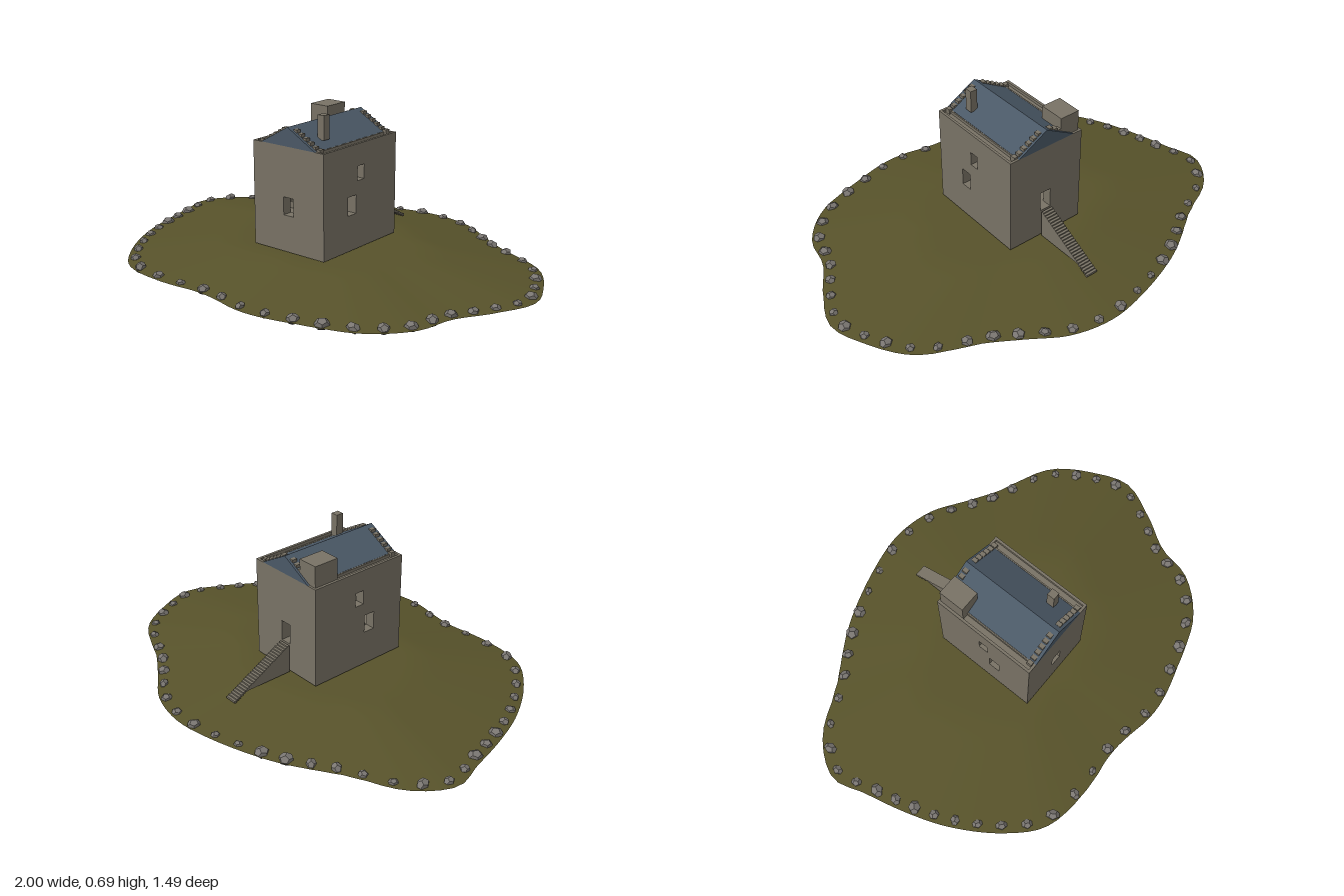
import * as THREE from 'three';

const mat = (name, color) => {
  const m = new THREE.MeshStandardMaterial({ color });
  m.name = name;
  return m;
};

export function createModel() {
  const model = new THREE.Group();
  model.name = 'towerHouseIsland';
  const stone = mat('wallStone', 0x787265);
  const slate = mat('roofSlate', 0x4a5866);
  const grass = mat('grass', 0x57522a);
  grass.side = THREE.DoubleSide;
  const rock = mat('shoreRock', 0x7a7672);
  rock.flatShading = true;

  const add = (parent, name, geo, material, x = 0, y = 0, z = 0) => {
    const mesh = new THREE.Mesh(geo, material);
    mesh.name = name;
    mesh.position.set(x, y, z);
    parent.add(mesh);
    return mesh;
  };
  // Box given by its limits on each axis
  const block = (parent, name, material, x0, x1, y0, y1, z0, z1) =>
    add(parent, name, new THREE.BoxGeometry(x1 - x0, y1 - y0, z1 - z0), material,
      (x0 + x1) / 2, (y0 + y1) / 2, (z0 + z1) / 2);

  // Shoreline, as x and z pairs
  const shore = [
    [1, -0.05], [0.957, -0.2], [0.82, -0.405], [0.57, -0.525], [0.43, -0.61], [0.27, -0.71],
    [0.08, -0.75], [-0.13, -0.72], [-0.42, -0.62], [-0.66, -0.475], [-0.9, -0.345], [-1, -0.19],
    [-0.96, -0.03], [-0.91, 0.16], [-0.84, 0.345], [-0.71, 0.55], [-0.56, 0.685], [-0.34, 0.72],
    [-0.1, 0.705], [0.17, 0.74], [0.41, 0.69], [0.65, 0.6], [0.79, 0.45], [0.83, 0.29], [0.925, 0.13],
  ].map(([x, z]) => new THREE.Vector3(x, 0, z));
  const samples = new THREE.CatmullRomCurve3(shore, true).getPoints(900);
  const shoreRadius = (angle) => {
    const c = Math.cos(angle), s = Math.sin(angle);
    let best = -2, radius = 1;
    for (const p of samples) {
      const r = Math.hypot(p.x, p.z), d = (p.x * c + p.z * s) / r;
      if (d > best) { best = d; radius = r; }
    }
    return radius;
  };

  // Island: a disc pulled out to the shoreline and raised to a plateau
  const slope = (t) => {
    const k = Math.max(0, (t - 0.42) / 0.58);
    return 0.09 - 0.069 * (k < 0.2 ? 2.5 * k * k / 0.9 : (k - 0.1) / 0.9);
  };
  const land = new THREE.RingGeometry(0.0001, 1, 120, 20);
  land.rotateX(-Math.PI / 2);
  const pos = land.attributes.position;
  for (let i = 0; i < pos.count; i++) {
    const x = pos.getX(i), z = pos.getZ(i), r = shoreRadius(Math.atan2(z, x));
    pos.setXYZ(i, x * r, slope(Math.hypot(x, z)), z * r);
  }
  land.computeVertexNormals();
  add(model, 'island', land, grass);

  // Rocks around the shore, spaced as on an ellipse
  let seed = 7;
  const rand = () => (seed = (seed * 16807) % 2147483647) / 2147483647;
  const rocks = new THREE.Group();
  rocks.name = 'shoreRocks';
  model.add(rocks);
  const rockGeo = new THREE.DodecahedronGeometry(1, 0);
  for (let i = 0; i < 48; i++) {
    const t = i * Math.PI / 24, a = Math.atan2(Math.sin(t), 1.3 * Math.cos(t));
    const r = shoreRadius(a) * 0.962, s = 0.02 + 0.013 * rand();
    const m = add(rocks, 'shoreRock', rockGeo, rock, Math.cos(a) * r, 0.027, Math.sin(a) * r);
    m.scale.set(s, s * 0.8, s * (0.75 + 0.3 * rand()));
    m.rotation.y = rand() * 6;
  }

  // Tower walls with openings cut through
  const X0 = -0.199, X1 = 0.189, Z0 = -0.22, Z1 = 0.277, Y0 = 0.099, Y1 = 0.564, T = 0.045;
  const WALK = Y1 - 0.014;
  const tower = new THREE.Group();
  tower.name = 'tower';
  model.add(tower);
  const rect = (path, a0, a1, y0, y1) =>
    path.moveTo(a0, y0).lineTo(a1, y0).lineTo(a1, y1).lineTo(a0, y1).closePath();
  const wall = (name, a0, a1, top, openings) => {
    const shape = new THREE.Shape();
    rect(shape, a0, a1, Y0, top);
    for (const o of openings) {
      const hole = new THREE.Path();
      rect(hole, ...o);
      shape.holes.push(hole);
    }
    return add(tower, name, new THREE.ExtrudeGeometry(shape, { depth: T, bevelEnabled: false }), stone);
  };
  wall('frontWall', X0 + T, X1 - T, Y1, [[-0.031, 0.023, 0.262, 0.342]]).position.z = Z1 - T;
  wall('backWall', X0 + T, X1 - T, Y1, [[-0.031, 0.023, 0.233, 0.328]]).position.z = Z0;
  const sideWindows = [[0.06, 0.115, 0.259, 0.342], [0.006, 0.051, 0.402, 0.467]];
  for (const [name, x, outer, inner] of [['leftWall', X1, X1, X1 - T], ['rightWall', X0 + T, X0, X0 + T]]) {
    const w = wall(name, Z0, Z1, WALK, sideWindows);
    w.rotation.y = -Math.PI / 2;
    w.position.x = x;
    // Parapet, eaves curb and end stones around the wall walk
    const d = Math.sign(outer), span = (a, b) => [Math.min(a, b), Math.max(a, b)];
    block(tower, 'parapet', stone, ...span(outer, outer - d * 0.012), WALK, Y1, Z0, Z1);
    block(tower, 'eavesCurb', stone, ...span(inner, inner + d * 0.006), WALK, Y1, Z0, Z1);
    for (const [z0, z1] of [[Z0, Z0 + 0.012], [Z1 - 0.012, Z1]])
      block(tower, 'endStone', stone, ...span(inner + d * 0.006, outer - d * 0.012), WALK, Y1, z0, z1);
  }

  // Floors and a short inner stair
  block(tower, 'groundFloor', stone, X0 + T, X1 - T, Y0, Y0 + 0.01, Z0 + T, Z1 - T);
  block(tower, 'upperFloor', stone, X0 + T, X1 - T, 0.218, 0.233, Z0 + T, Z1 - T);
  for (let i = 0; i < 8; i++)
    block(tower, 'innerStep', stone, -0.15, -0.09, 0.233, 0.262 + i * 0.005, 0.103 - i * 0.011, 0.115 - i * 0.011);

  // Pitched roof
  const C = (X0 + X1) / 2, HALF = 0.148, RISE = 0.084;
  const gable = new THREE.Shape();
  gable.moveTo(C - HALF, Y1).lineTo(C + HALF, Y1).lineTo(C, Y1 + RISE).closePath();
  add(tower, 'roof', new THREE.ExtrudeGeometry(gable, { depth: Z1 - Z0, bevelEnabled: false }), slate, 0, 0, Z0);

  // Stepped stones along both gables
  for (const z of [-0.21, 0.24])
    for (const side of [-1, 1])
      for (let i = 0; i < 6; i++) {
        const out = 0.165 - i * 0.025, inner = out - 0.019;
        const top = Y1 + Math.max(0.01, RISE * (1 - inner / HALF) + 0.003);
        const a = C + side * out, b = C + side * inner;
        block(tower, 'gableStep', stone, Math.min(a, b), Math.max(a, b), Math.max(WALK, top - 0.025), top, z, z + 0.024);
      }

  // Chimney and corner turret
  block(tower, 'chimney', stone, 0.078, 0.112, 0.59, 0.696, 0.145, 0.181);
  block(tower, 'cornerTurret', stone, -0.187, -0.09, WALK, 0.662, -0.21, -0.088);

  // Outer stair down from the back door
  const stair = new THREE.Group();
  stair.name = 'outerStair';
  model.add(stair);
  const N = 26, run = 0.302 / N, drop = 0.162 / N;
  for (let i = 0; i < N; i++) {
    const top = 0.231 - i * drop, z = -0.228 - i * run;
    block(stair, 'stairStep', stone, -0.035, 0.022, Math.min(Y0, top - 0.01), top, z - run, z);
  }
  return model;
}
